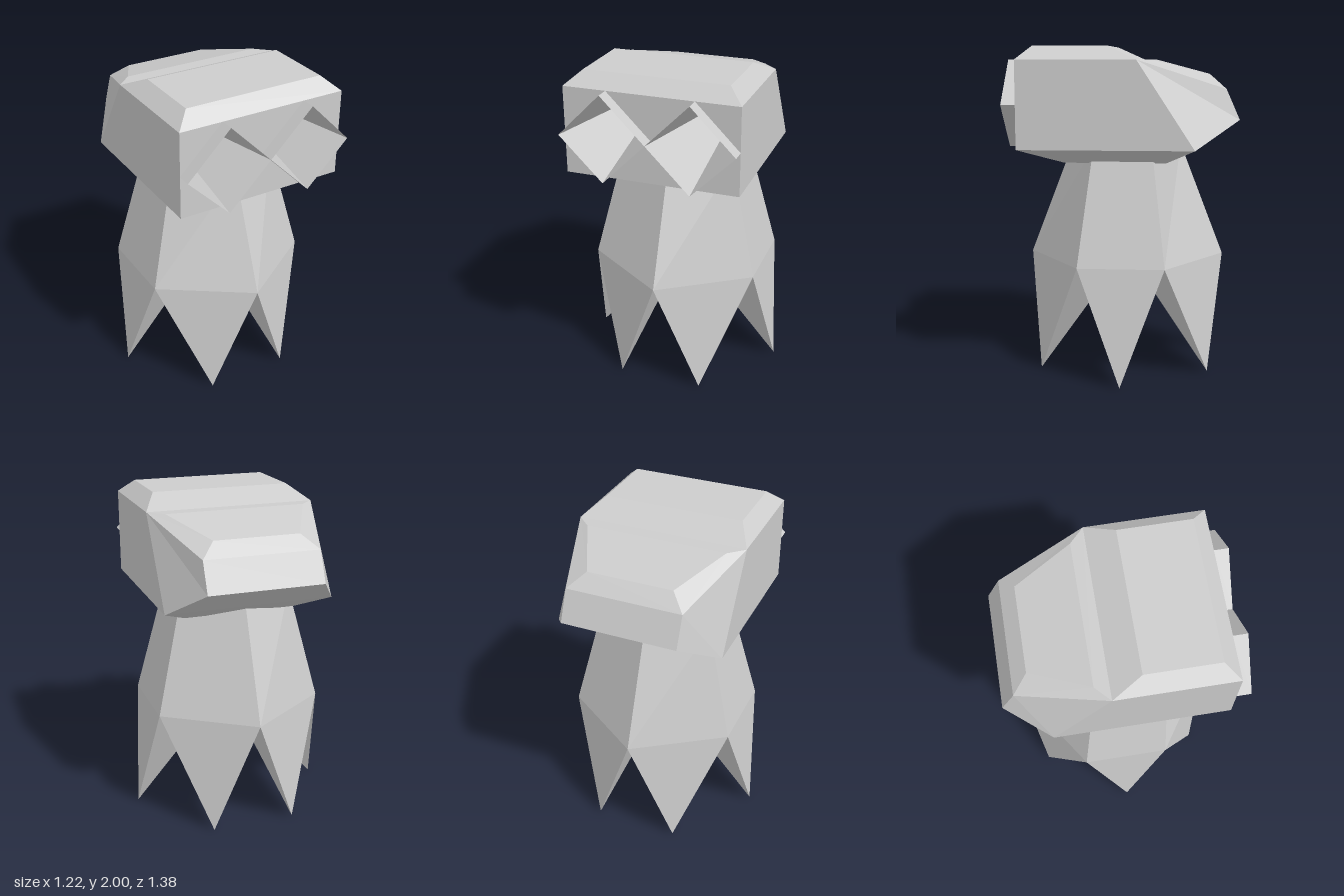
import * as THREE from 'three';

const grey = new THREE.MeshStandardMaterial({ color: 0xcccccc });
grey.name = 'plain grey';

// Flat-faced mesh from polygons, each turned away from the inside point (or towards it).
function facets(name, polys, inside, inward = false) {
  const pos = [];
  const ref = new THREE.Vector3(...inside);
  for (const poly of polys) {
    const v = poly.map((p) => new THREE.Vector3(...p));
    const n = v[1].clone().sub(v[0]).cross(v[2].clone().sub(v[0]));
    if ((n.dot(v[0].clone().sub(ref)) < 0) !== inward) v.reverse();
    for (let i = 1; i < v.length - 1; i++) {
      for (const p of [v[0], v[i], v[i + 1]]) pos.push(p.x, p.y, p.z);
    }
  }
  const geo = new THREE.BufferGeometry();
  geo.setAttribute('position', new THREE.Float32BufferAttribute(pos, 3));
  geo.computeVertexNormals();
  const mesh = new THREE.Mesh(geo, grey);
  mesh.name = name;
  return mesh;
}

const flip = ([x, y, z]) => [-x, y, z];
// Quad spanning both sides from two points on the left.
const across = (a, b) => [a, b, flip(b), flip(a)];

function makeHead() {
  const frontLow = [0.52, 1.4, 0.61], frontHigh = [0.52, 1.92, 0.61];
  const roofFront = [0.43, 2, 0.52], roofBack = [0.43, 2, 0.085];
  const brow = [0.52, 1.92, -0.09];
  const slabFront = [0.43, 1.92, -0.175], slabBack = [0.26, 1.83, -0.52];
  const backHigh = [0.35, 1.75, -0.61], backLow = [0.35, 1.57, -0.69];
  const sideLow = [0.52, 1.4, -0.43];
  const baseFront = [0.35, 1.31, 0.35], baseBack = [0.35, 1.31, -0.26];

  // Strips crossing the centre line
  const chain = [frontHigh, roofFront, roofBack, brow, slabFront, slabBack,
    backHigh, backLow, sideLow, baseBack, baseFront, frontLow];
  const polys = chain.slice(1).map((p, i) => across(chain[i], p));

  // Side faces and the front panel around the eye openings
  const sides = [
    [frontLow, sideLow, brow, frontHigh],
    [frontHigh, brow, roofBack, roofFront],
    [brow, sideLow, backLow, backHigh],
    [brow, backHigh, slabBack, slabFront],
    [frontLow, baseFront, baseBack, sideLow],
    [frontLow, [0.26, 1.4, 0.61], [0.52, 1.66, 0.61]],
    [frontHigh, [0.26, 1.92, 0.61], [0.52, 1.66, 0.61]],
  ];
  for (const s of sides) polys.push(s, s.map(flip));
  for (const y of [1.4, 1.92]) {
    polys.push([[-0.26, y, 0.61], [0.26, y, 0.61], [0, 1.66, 0.61]]);
  }
  return facets('head', polys, [0, 1.62, 0]);
}

// Diamond eye: a short square rim around a deep pointed hollow
function makeEye(x, name) {
  const eye = new THREE.Group();
  eye.name = name;
  const corner = (i, z) => {
    const a = (i * Math.PI) / 2;
    return [x + 0.26 * Math.cos(a), 1.66 + 0.26 * Math.sin(a), z];
  };
  const rim = [], hollow = [];
  for (let i = 0; i < 4; i++) {
    rim.push([corner(i, 0.61), corner(i + 1, 0.61), corner(i + 1, 0.695), corner(i, 0.695)]);
    hollow.push([corner(i, 0.695), corner(i + 1, 0.695), [x, 1.66, -0.45]]);
  }
  eye.add(facets('eyeRim', rim, [x, 1.66, 0.65]));
  eye.add(facets('eyeHollow', hollow, [x, 1.66, 0.6], true));
  return eye;
}

export function createModel() {
  const model = new THREE.Group();
  model.name = 'figure';
  model.add(makeHead(), makeEye(0.26, 'leftEye'), makeEye(-0.26, 'rightEye'));

  // Six-sided body, narrowing into the head
  const hips = [[0, 0.61], [0.52, 0.26], [0.52, -0.26], [0, -0.61], [-0.52, -0.26], [-0.52, 0.26]]
    .map(([x, z]) => [x, 0.7, z]);
  const neck = [[0, 0.34], [0.35, 0.175], [0.35, -0.175], [0, -0.34], [-0.35, -0.175], [-0.35, 0.175]]
    .map(([x, z]) => [x, 1.4, z]);
  const tips = [[0.26, 0.52], [0.61, 0], [0.26, -0.52], [-0.26, -0.52], [-0.61, 0], [-0.26, 0.52]]
    .map(([x, z]) => [x, 0, z]);
  const panels = hips.map((h, i) => [h, hips[(i + 1) % 6], neck[(i + 1) % 6], neck[i]]);
  model.add(facets('body', [...panels, neck], [0, 1, 0]));

  // Pointed legs, each a wedge from the body's centre to its tip
  const centre = [0, 0.7, 0];
  tips.forEach((tip, i) => {
    const a = hips[i], b = hips[(i + 1) % 6];
    const mid = [0, 1, 2].map((k) => (a[k] + b[k] + tip[k] + centre[k]) / 4);
    model.add(facets('leg', [[a, b, tip], [a, centre, tip], [b, centre, tip]], mid));
  });
  return model;
}
